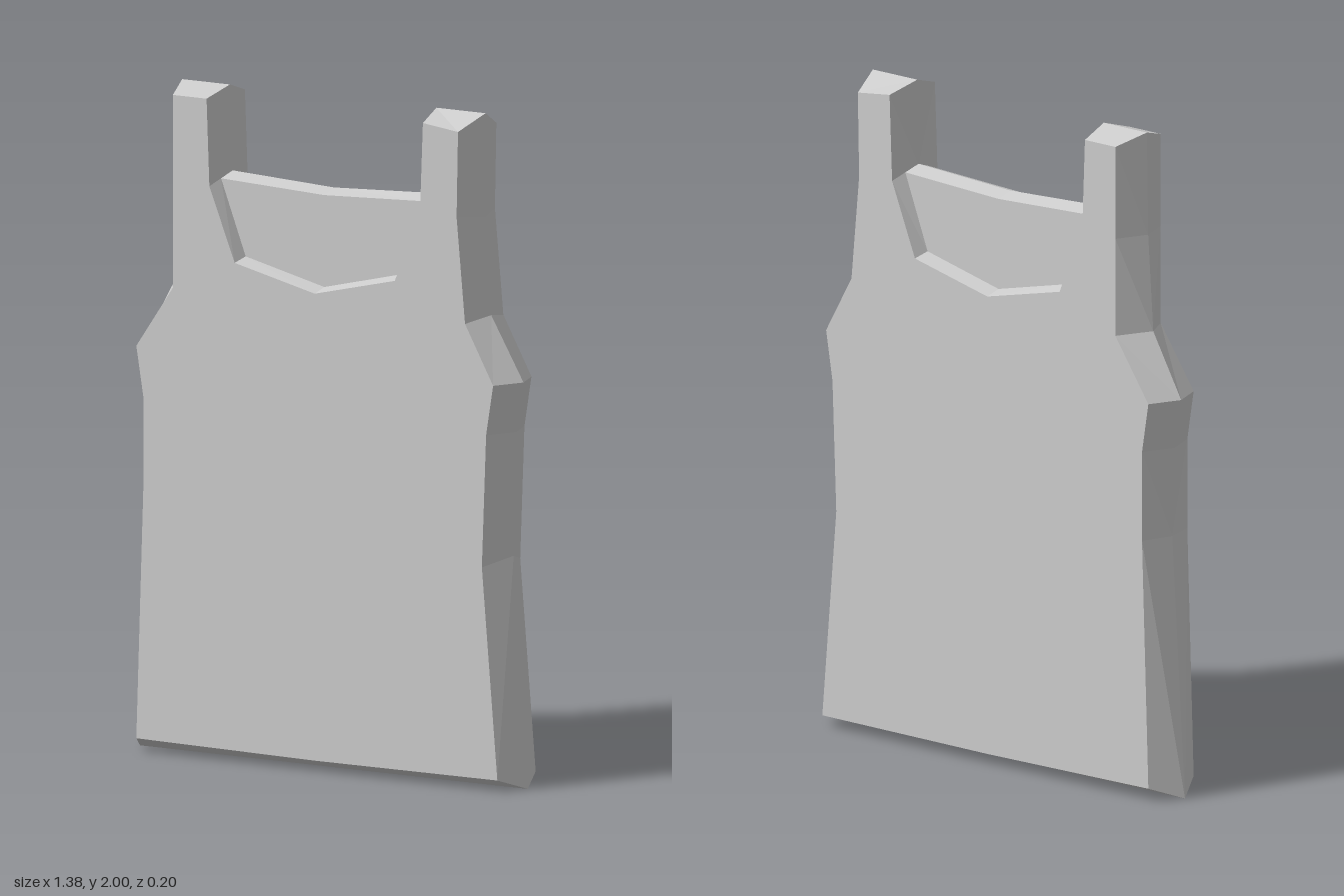
import * as THREE from 'three';

// Outline pairs, counter-clockwise from the right neck corner: [faceX, faceY, ridgeX, ridgeY]
const OUTLINE = [
  [-0.375, 1.71, -0.36, 1.745], [-0.385, 1.97, -0.37, 2], [-0.505, 1.97, -0.54, 2],
  [-0.505, 1.69, -0.545, 1.69], [-0.505, 1.395, -0.565, 1.4], [-0.635, 1.21, -0.675, 1.21],
  [-0.61, 1.06, -0.65, 1.06], [-0.61, 0.79, -0.64, 0.79], [-0.635, 0.04, -0.69, 0],
  [0, 0.033, 0, 0],
  [0.65, 0.035, 0.69, 0], [0.595, 0.665, 0.64, 0.69], [0.61, 1.06, 0.65, 1.06],
  [0.635, 1.21, 0.675, 1.21], [0.535, 1.385, 0.56, 1.4], [0.505, 1.7, 0.54, 1.69],
  [0.51, 1.955, 0.54, 2], [0.385, 1.97, 0.365, 2], [0.375, 1.71, 0.36, 1.745],
];
const DEPTH = 0.1, PANEL_DEPTH = 0.05;

const at = (points, z) => points.map(([x, y]) => new THREE.Vector3(x, y, z));

// Flat polygon as a list of triangle corners
function cap(points) {
  const flat = points.map((p) => new THREE.Vector2(p.x, p.y));
  return THREE.ShapeUtils.triangulateShape(flat, []).flat().map((i) => points[i]);
}

// Band of quads joining two paths of equal length
function strip(a, b) {
  const out = [];
  for (let i = 0; i < a.length - 1; i++) {
    out.push(a[i], b[i], b[i + 1], a[i], b[i + 1], a[i + 1]);
  }
  return out;
}

// Front triangles plus their mirror image on the back
function mirroredMesh(name, front, material) {
  const back = [];
  for (let i = 0; i < front.length; i += 3) {
    for (const k of [0, 2, 1]) {
      const p = front[i + k];
      back.push(new THREE.Vector3(p.x, p.y, -p.z));
    }
  }
  const geometry = new THREE.BufferGeometry().setFromPoints([...front, ...back]);
  geometry.computeVertexNormals();
  const mesh = new THREE.Mesh(geometry, material);
  mesh.name = name;
  return mesh;
}

export function createModel() {
  const group = new THREE.Group();
  group.name = 'tankTop';
  const material = new THREE.MeshStandardMaterial({ color: 0xcccccc, flatShading: true });

  const face = at(OUTLINE, DEPTH);
  const ridge = at(OUTLINE.map((p) => [p[2], p[3]]), 0);

  // Scoop runs from the left neck corner down and across to the right one
  const scoop = [
    face[face.length - 1],
    ...at([[0.285, 1.49], [0, 1.425], [-0.285, 1.49]], DEPTH),
    face[0],
  ];
  const innerScoop = at(
    [[0.3675, 1.7275], [0.28, 1.503], [0, 1.438], [-0.28, 1.503], [-0.3675, 1.7275]], PANEL_DEPTH);

  // Body with straps: flat face and bevel out to the side ridge
  group.add(mirroredMesh('body', [
    ...cap([...face, ...scoop.slice(1, -1)]),
    ...strip(face, ridge),
  ], material));

  // Neckline rim stepping in to the recessed panel
  group.add(mirroredMesh('necklineRim', strip(scoop, innerScoop), material));

  // Recessed neck panel with a peaked top edge
  const [topCentre] = at([[0, 1.712]], PANEL_DEPTH);
  const [ridgeCentre] = at([[0, 1.728]], 0);
  const panelTop = [innerScoop[0], topCentre, innerScoop[4]];
  const panelRidge = [ridge[ridge.length - 1], ridgeCentre, ridge[0]];
  group.add(mirroredMesh('neckPanel', [
    ...cap([...innerScoop.slice().reverse(), topCentre]),
    ...strip(panelTop, panelRidge),
  ], material));

  return group;
}
